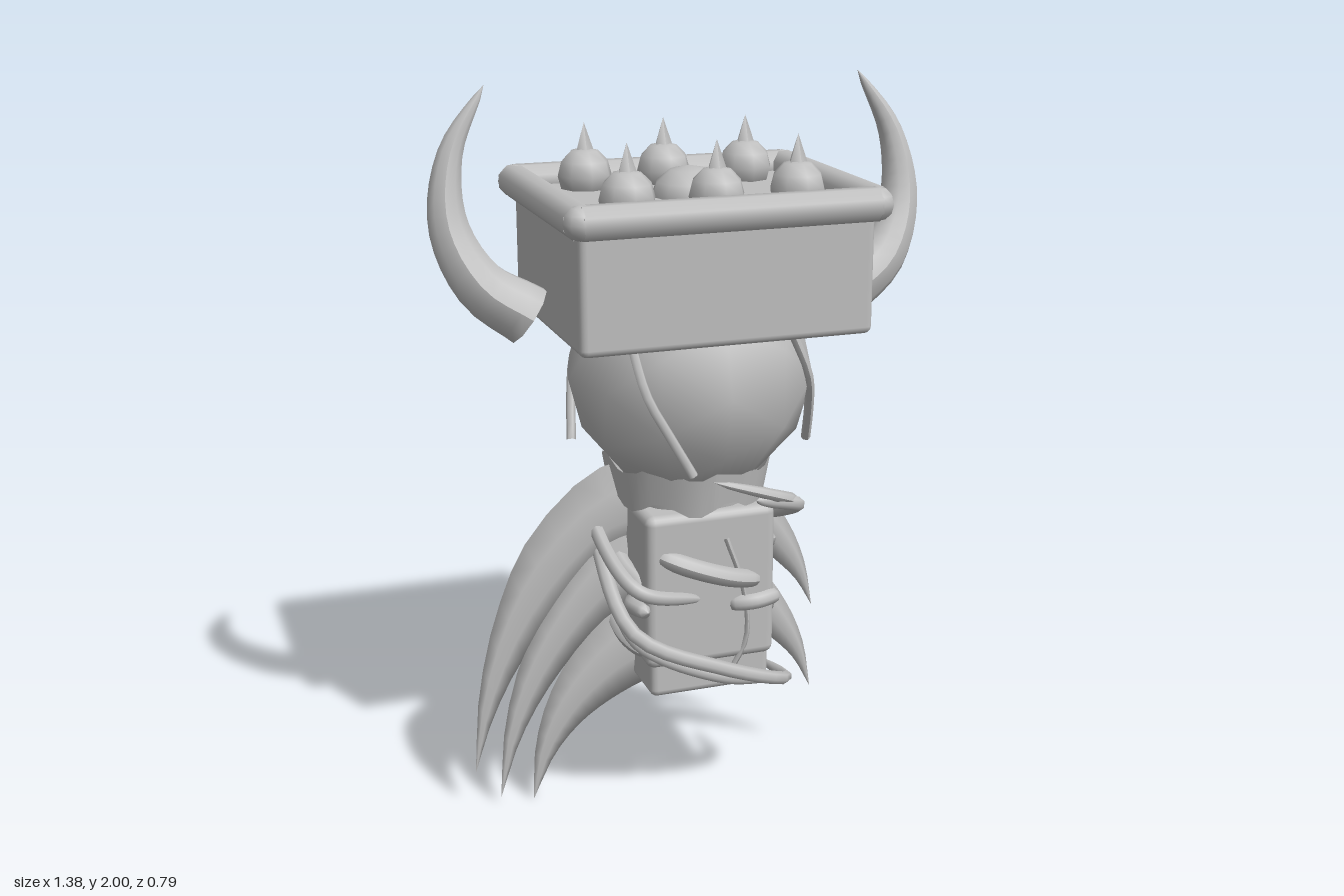
import * as THREE from 'three';
import { RoundedBoxGeometry } from 'three/addons/geometries/RoundedBoxGeometry.js';

const grey = new THREE.MeshStandardMaterial({ color: 0xbfbfbf });
grey.name = 'stone grey';
const greyOpen = grey.clone();
greyOpen.name = 'stone grey thin';
greyOpen.side = THREE.DoubleSide;

const MID = 0.025; // depth of the model's axis
const v3 = (p) => new THREE.Vector3(...p);
const curveOf = (pts) => new THREE.CatmullRomCurve3(pts.map(v3));

// Tube whose radius follows a rule along its length
function taperedTube(pts, radius, rule, segs = 14, sides = 8) {
  const curve = curveOf(pts);
  const geo = new THREE.TubeGeometry(curve, segs, radius, sides, false);
  const pos = geo.attributes.position, p = new THREE.Vector3();
  for (let i = 0; i < pos.count; i++) {
    const u = Math.floor(i / (sides + 1)) / segs;
    const c = curve.getPointAt(u);
    p.fromBufferAttribute(pos, i).sub(c).multiplyScalar(rule(u)).add(c);
    pos.setXYZ(i, p.x, p.y, p.z);
  }
  geo.computeVertexNormals();
  return geo;
}
const roundEnds = (u) => Math.sqrt(Math.max(0, 1 - Math.pow(Math.abs(2 * u - 1), 6)));

// Curved blade between an outer and an inner edge, with a lens section
function bladeGeometry(outer, inner, thick, side) {
  const a = curveOf(outer.map(([x, y]) => [x * side, y, 0]));
  const b = curveOf(inner.map(([x, y]) => [x * side, y, 0]));
  const N = 12, M = 6, verts = [], idx = [];
  for (let i = 0; i <= N; i++) {
    const u = i / N, o = a.getPoint(u), n = b.getPoint(u);
    const t = thick * Math.pow(1 - u, 0.7) * side;
    [[0, 0], [0.3, 0.85], [0.65, 0.85], [1, 0], [0.65, -0.85], [0.3, -0.85]].forEach(([k, h]) => {
      const q = o.clone().lerp(n, k);
      verts.push(q.x, q.y, h * t);
    });
  }
  for (let i = 0; i < N; i++) for (let j = 0; j < M; j++) {
    const p = i * M + j, q = i * M + (j + 1) % M;
    idx.push(p, q, q + M, p, q + M, p + M);
  }
  for (let j = 1; j < M - 1; j++) idx.push(0, j + 1, j);
  const geo = new THREE.BufferGeometry();
  geo.setAttribute('position', new THREE.Float32BufferAttribute(verts, 3));
  geo.setIndex(idx);
  geo.computeVertexNormals();
  return geo;
}

export function createModel() {
  const model = new THREE.Group();
  const add = (name, geo, pos = [0, 0, 0], parent = model, mat = grey) => {
    const m = new THREE.Mesh(geo, mat);
    m.name = name;
    m.position.set(...pos);
    parent.add(m);
    return m;
  };
  const group = (name) => {
    const g = new THREE.Group();
    g.name = name;
    model.add(g);
    return g;
  };

  // Block head with a rolled rim
  add('headBlock', new RoundedBoxGeometry(0.79, 0.335, 0.635, 2, 0.02), [0, 1.5375, 0.03]);
  const rim = group('rim');
  const R = 0.042, rx = 0.393, rz = 0.322, ry = 1.713;
  const bar = (len) => new THREE.CylinderGeometry(R / Math.cos(Math.PI / 8), R / Math.cos(Math.PI / 8), len, 8)
    .rotateY(Math.PI / 8);
  for (const s of [-1, 1]) {
    add('rimLong', bar(2 * rx).rotateZ(Math.PI / 2), [0, ry, 0.03 + s * rz], rim);
    add('rimShort', bar(2 * rz).rotateX(Math.PI / 2), [s * rx, ry, 0.03], rim);
    for (const t of [-1, 1])
      add('rimCorner', new THREE.SphereGeometry(R * 1.06, 8, 6), [s * rx, ry, 0.03 + t * rz], rim);
  }

  // Studs with spikes, and the low centre dome
  const studs = group('studs');
  for (const s of [-1, 1]) for (const x of [-0.23, 0, 0.23]) {
    const z = 0.025 + s * (x ? 0.188 : 0.21);
    add('stud', new THREE.SphereGeometry(0.075, 8, 6), [x, 1.74, z], studs);
    add('spike', new THREE.ConeGeometry(0.034, 0.1, 5), [x, 1.83, z], studs);
  }
  add('centreDome', new THREE.SphereGeometry(0.105, 10, 6).scale(1, 0.8, 1), [0, 1.7, 0.03], studs);

  // Horns
  for (const s of [-1, 1]) {
    const pts = [[0.445, 1.415, 0.03], [0.565, 1.5, 0.015], [0.635, 1.65, -0.025], [0.618, 1.83, -0.055], [0.52, 2, -0.07]]
      .map(([x, y, z]) => [s * x, y, z]);
    const horn = group(s > 0 ? 'leftHorn' : 'rightHorn');
    add('hornCurve', taperedTube(pts, 0.084, (u) => Math.pow(1 - u, 0.7), 18, 10), [0, 0, 0], horn);
    const cap = add('hornBase', new THREE.CircleGeometry(0.084, 10), pts[0], horn);
    const c = curveOf(pts);
    cap.lookAt(c.getPointAt(0).sub(c.getTangentAt(0)));
  }

  // Faceted ball with four hanging straps
  add('ball', new THREE.IcosahedronGeometry(0.34, 1), [0, 1.23, MID]);
  const strap = taperedTube([[0.2, 1.38, 0.23], [0.265, 1.24, 0.205], [0.29, 1.14, 0.155], [0.308, 1.03, 0.095]],
    0.013, () => 1, 10, 6);
  const straps = group('straps');
  for (let i = 0; i < 4; i++) add('strap', strap, [0, 0, MID], straps).rotation.y = i * Math.PI / 2;

  // Scalloped collar
  const collar = new THREE.CylinderGeometry(0.235, 0.215, 0.11, 40, 1, true);
  const cp = collar.attributes.position;
  for (let i = 0; i < cp.count; i++) {
    const a = Math.atan2(cp.getX(i), cp.getZ(i));
    cp.setY(i, cp.getY(i) + 0.018 * Math.sin(a * 7));
  }
  collar.computeVertexNormals();
  add('collar', collar, [0, 0.94, 0.01], model, greyOpen);
  add('collarFill', new THREE.CylinderGeometry(0.2, 0.18, 0.14, 16), [0, 0.92, 0.015]);

  // Square body and its lower block
  add('body', new RoundedBoxGeometry(0.37, 0.44, 0.385, 2, 0.025), [0, 0.66, MID]);
  add('bodyFoot', new RoundedBoxGeometry(0.345, 0.15, 0.35, 2, 0.02), [0.005, 0.42, 0.02]);

  // Cords winding round the body: angle in quarter turns from the front, height, radius
  const cords = group('cords');
  const cord = (pts, r) => add('cord', taperedTube(
    pts.map(([q, y, d]) => [Math.sin(q * Math.PI / 2) * d, y, MID + Math.cos(q * Math.PI / 2) * d]),
    r, roundEnds, 48, 7), [0, 0, 0], cords);
  cord([[-0.05, 0.985, 0.25], [0.5, 0.9, 0.3], [1, 0.83, 0.25], [1.5, 0.8, 0.28], [2, 0.79, 0.22],
    [2.5, 0.78, 0.29], [3, 0.73, 0.26], [3.5, 0.57, 0.33], [4, 0.46, 0.28], [4.5, 0.37, 0.3], [5, 0.34, 0.21]], 0.021);
  cord([[0.25, 0.92, 0.27], [0.6, 0.87, 0.31], [1, 0.79, 0.23], [1.3, 0.77, 0.22]], 0.02);
  cord([[2.6, 0.86, 0.29], [3, 0.8, 0.27], [3.5, 0.69, 0.31], [3.9, 0.63, 0.19]], 0.02);
  cord([[2.5, 0.62, 0.29], [3, 0.58, 0.22], [3.5, 0.52, 0.29], [4, 0.42, 0.24], [4.6, 0.35, 0.28]], 0.018);

  // Short thick slanted rolls on each face
  const rolls = group('rolls');
  const roll = taperedTube([[-0.16, 0.77, 0.17], [-0.06, 0.73, 0.205], [0.05, 0.69, 0.205], [0.15, 0.66, 0.17]],
    0.028, roundEnds, 16, 8);
  const smallRoll = taperedTube([[0.05, 0.6, 0.175], [0.12, 0.61, 0.205], [0.2, 0.615, 0.185]], 0.023, roundEnds, 12, 8);
  for (let i = 0; i < 4; i++) {
    add('roll', roll, [0, 0, MID], rolls).rotation.y = i * Math.PI / 2;
    add('smallRoll', smallRoll, [0, 0, MID], rolls).rotation.y = i * Math.PI / 2;
    if (i) add('lowRoll', roll, [0, -0.19, MID], rolls).rotation.y = i * Math.PI / 2;
  }
  add('vein', taperedTube([[0.04, 0.8, 0.215], [0.09, 0.65, 0.217], [0.1, 0.5, 0.217], [0.05, 0.38, 0.2]], 0.008, () => 1, 12, 5));

  // Three long blades on the right side
  const long = group('longBlades');
  [
    [[[0.12, 1.0], [0.28, 0.96], [0.46, 0.79], [0.55, 0.6], [0.61, 0.36], [0.63, 0.11]],
      [[0.12, 0.74], [0.24, 0.7], [0.37, 0.58], [0.49, 0.43], [0.575, 0.27], [0.63, 0.11]]],
    [[[0.12, 0.83], [0.27, 0.78], [0.39, 0.63], [0.48, 0.46], [0.54, 0.25], [0.56, 0.02]],
      [[0.12, 0.57], [0.22, 0.53], [0.32, 0.45], [0.42, 0.33], [0.5, 0.19], [0.56, 0.02]]],
    [[[0.1, 0.6], [0.22, 0.56], [0.33, 0.45], [0.41, 0.32], [0.455, 0.17], [0.465, 0]],
      [[0.1, 0.33], [0.18, 0.3], [0.26, 0.26], [0.33, 0.21], [0.4, 0.13], [0.465, 0]]],
  ].forEach(([o, n]) => add('longBlade', bladeGeometry(o, n, 0.032, -1), [0, 0, 0.02], long));

  // Pairs of short blades on the left side and at the back
  const short = group('shortBlades');
  const upper = [[[0.12, 0.88], [0.21, 0.865], [0.3, 0.75], [0.355, 0.62], [0.38, 0.48]],
    [[0.12, 0.72], [0.2, 0.69], [0.27, 0.63], [0.33, 0.565], [0.38, 0.48]]];
  const lower = [[[0.12, 0.66], [0.22, 0.61], [0.3, 0.5], [0.355, 0.37], [0.38, 0.22]],
    [[0.12, 0.46], [0.2, 0.44], [0.26, 0.39], [0.325, 0.32], [0.38, 0.22]]];
  for (const [o, n] of [upper, lower]) {
    add('leftBlade', bladeGeometry(o, n, 0.03, 1), [0, 0, 0.02], short);
    const drop = o === lower[0] ? 0.08 : 0.05;
    const sag = (pts) => pts.map(([x, y]) => [x * 1.03, y - drop * Math.max(0, (x - 0.2) / 0.18)]);
    add('backBlade', bladeGeometry(sag(o), sag(n), 0.03, 1), [-0.01, 0, 0], short).rotation.y = Math.PI / 2;
  }
  return model;
}
